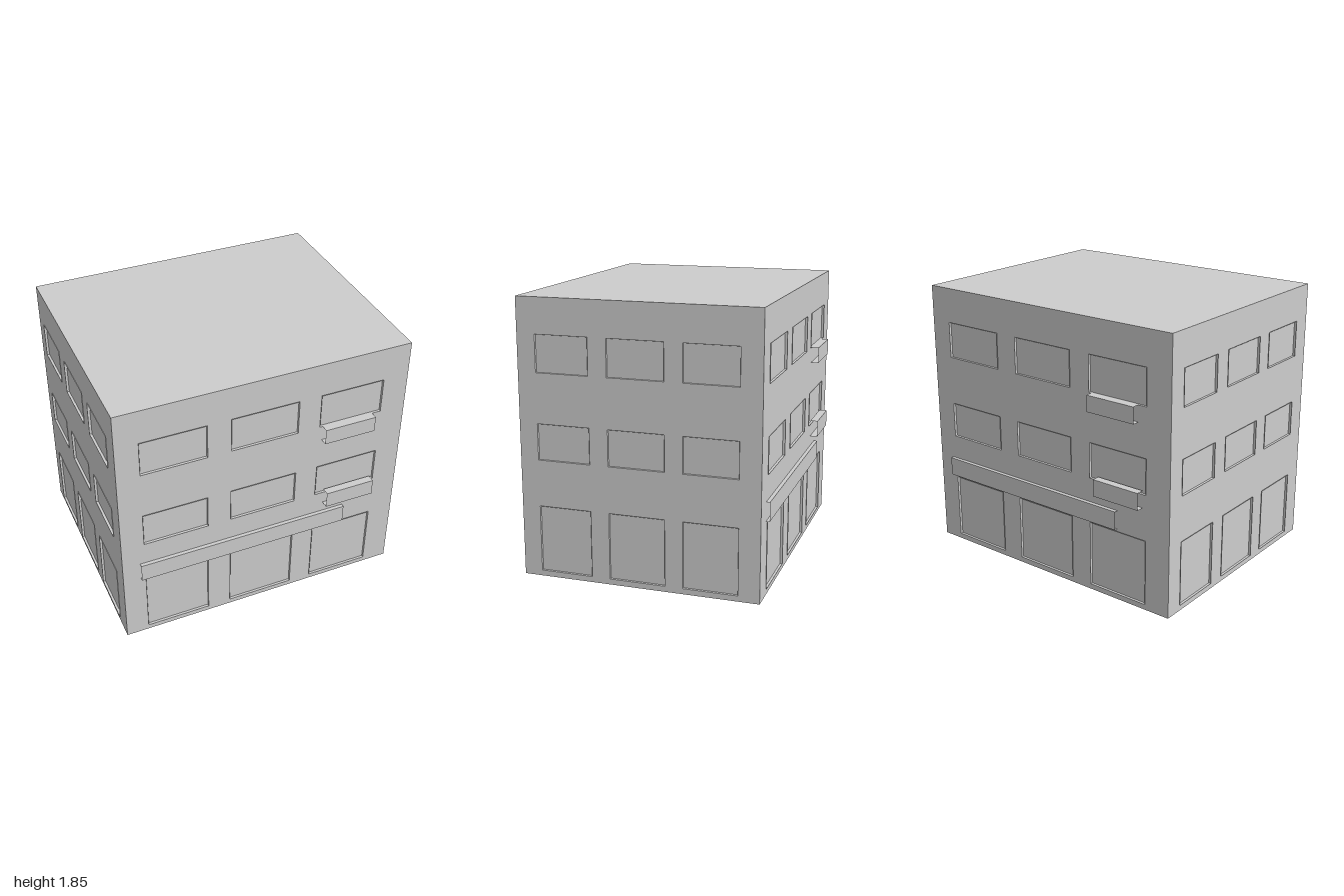
import * as THREE from 'three';

const W = 0.994, D = 0.8, H = 1.85;        // half width, half depth, height
const LIP = 0.005, RECESS = 0.012;         // window rim in front of / pane behind the wall
const ROWS = [[0.04, 0.485], [0.797, 1.037], [1.37, 1.615]];
const FRONT_COLS = [[-0.84, -0.4], [-0.24, 0.22], [0.375, 0.815]];
const SIDE_COLS = [[-0.675, -0.32], [-0.195, 0.18], [0.3, 0.66]];

const concrete = new THREE.MeshStandardMaterial({ color: 0xcccccc, side: THREE.DoubleSide });
concrete.name = 'concrete grey';

function plane(parent, name, w, h, x, y, z, rx = 0, ry = 0) {
  const mesh = new THREE.Mesh(new THREE.PlaneGeometry(w, h), concrete);
  mesh.name = name;
  mesh.position.set(x, y, z);
  mesh.rotation.set(rx, ry, 0);
  parent.add(mesh);
}

// Recessed pane with its four reveals
function makeWindow([x0, x1], [y0, y1], z) {
  const g = new THREE.Group();
  g.name = 'window';
  const w = x1 - x0, h = y1 - y0, cx = (x0 + x1) / 2, cy = (y0 + y1) / 2;
  const t = LIP + RECESS, mid = z + (LIP - RECESS) / 2;
  plane(g, 'pane', w, h, cx, cy, z - RECESS);
  plane(g, 'sill', w, t, cx, y0, mid, -Math.PI / 2);
  plane(g, 'lintel', w, t, cx, y1, mid, Math.PI / 2);
  plane(g, 'leftJamb', t, h, x0, cy, mid, 0, Math.PI / 2);
  plane(g, 'rightJamb', t, h, x1, cy, mid, 0, -Math.PI / 2);
  return g;
}

// Flat wall with window openings
function makeFacade(name, half, z, cols) {
  const g = new THREE.Group();
  g.name = name;
  const shape = new THREE.Shape();
  shape.moveTo(-half, 0).lineTo(half, 0).lineTo(half, H).lineTo(-half, H).closePath();
  for (const c of cols) for (const r of ROWS) {
    const hole = new THREE.Path();
    hole.moveTo(c[0], r[0]).lineTo(c[0], r[1]).lineTo(c[1], r[1]).lineTo(c[1], r[0]).closePath();
    shape.holes.push(hole);
    g.add(makeWindow(c, r, z));
  }
  const wall = new THREE.Mesh(new THREE.ShapeGeometry(shape), concrete);
  wall.name = 'wall';
  wall.position.z = z;
  g.add(wall);
  return g;
}

// Open-ended ledge: top, front and underside only
function makeLedge(name, x0, x1, y0, y1, depth) {
  const g = new THREE.Group();
  g.name = name;
  const w = x1 - x0, cx = (x0 + x1) / 2;
  plane(g, 'ledgeFront', w, y1 - y0, cx, (y0 + y1) / 2, D + depth);
  plane(g, 'ledgeTop', w, depth, cx, y1, D + depth / 2, -Math.PI / 2);
  plane(g, 'ledgeUnderside', w, depth, cx, y0, D + depth / 2, Math.PI / 2);
  return g;
}

export function createModel() {
  const model = new THREE.Group();
  model.name = 'building';

  // The back and left repeat the front and right, turned half round
  for (const [turn, frontName, sideName] of [[0, 'frontFacade', 'plusXFacade'], [Math.PI, 'backFacade', 'minusXFacade']]) {
    const front = makeFacade(frontName, W, D, FRONT_COLS);
    front.add(
      makeLedge('signBoard', -0.875, 0.595, 0.503, 0.63, 0.025),
      makeLedge('lowerBalcony', 0.44, 0.79, 0.705, 0.82, 0.053),
      makeLedge('upperBalcony', 0.395, 0.755, 1.26, 1.37, 0.053),
    );
    front.rotation.y = turn;
    const side = makeFacade(sideName, D, W, SIDE_COLS);
    side.rotation.y = turn + Math.PI / 2;
    model.add(front, side);
  }

  // Flat roof; the underside stays open
  plane(model, 'roof', 2 * W, 2 * D, 0, H, 0, -Math.PI / 2);
  return model;
}
